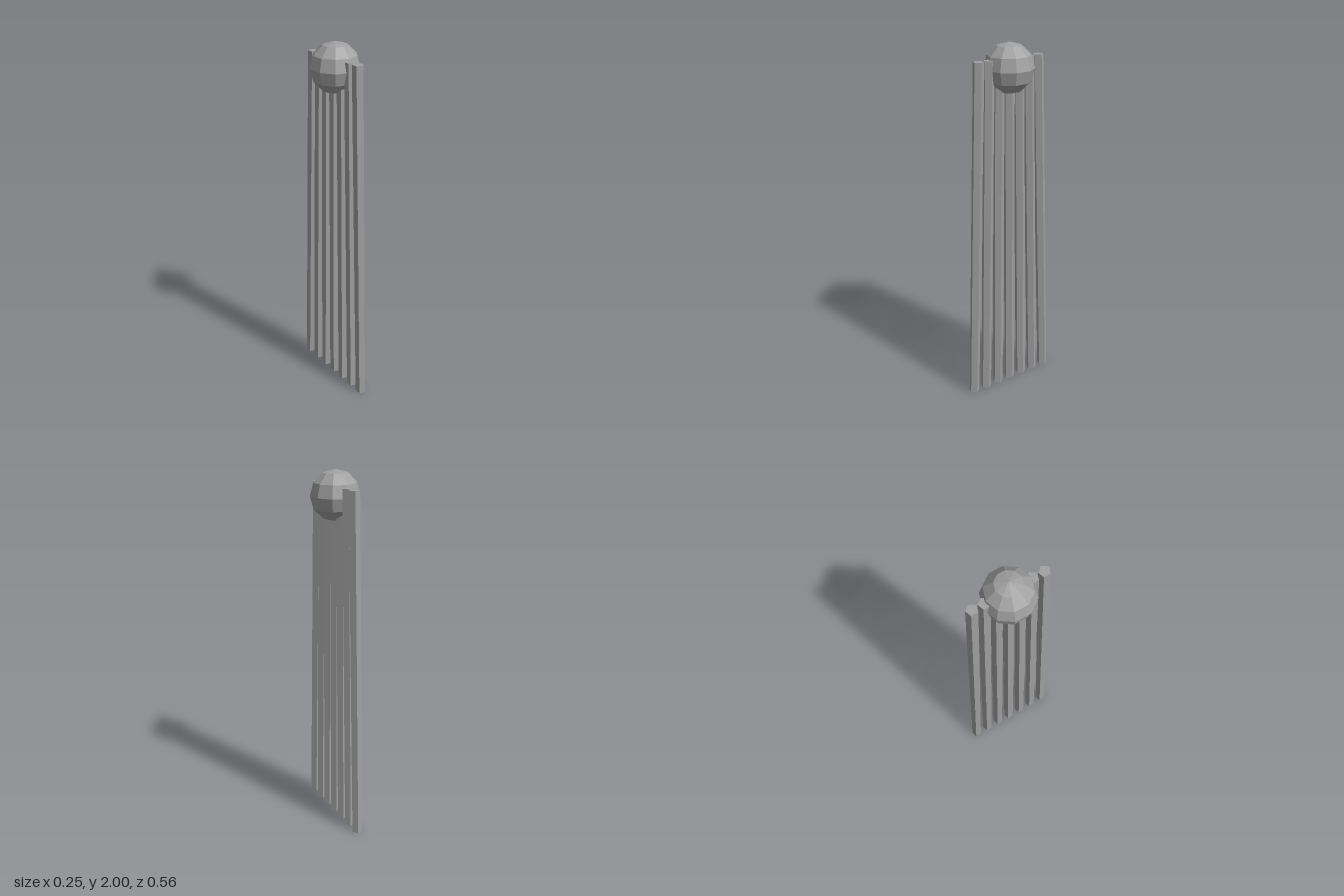
import * as THREE from 'three';

export function createModel() {
  const group = new THREE.Group();
  const grey = new THREE.MeshStandardMaterial({ color: 0xa0a0a0, flatShading: true });
  grey.name = 'plain grey';

  // Faceted ball at the top, with an edge facing front and back
  const ballGeometry = new THREE.SphereGeometry(0.13, 10, 6);
  ballGeometry.rotateY(Math.PI / 2);
  const ball = new THREE.Mesh(ballGeometry, grey);
  ball.name = 'ball';
  ball.position.y = 1.87;
  group.add(ball);

  // Row of five-sided strands that fan out towards the ground
  const height = 1.92;
  for (let i = -3; i <= 3; i++) {
    const geometry = new THREE.CylinderGeometry(0.03, 0.03, height, 5, 1, false, Math.PI / 2);
    geometry.translate(0, height / 2, 0);
    const p = geometry.attributes.position;
    for (let v = 0; v < p.count; v++) {
      const spacing = THREE.MathUtils.lerp(0.0835, 0.06, p.getY(v) / height);
      p.setZ(v, p.getZ(v) + i * spacing);
    }
    geometry.computeVertexNormals();
    const strand = new THREE.Mesh(geometry, grey);
    strand.name = `strand${i + 4}`;
    group.add(strand);
  }
  return group;
}
